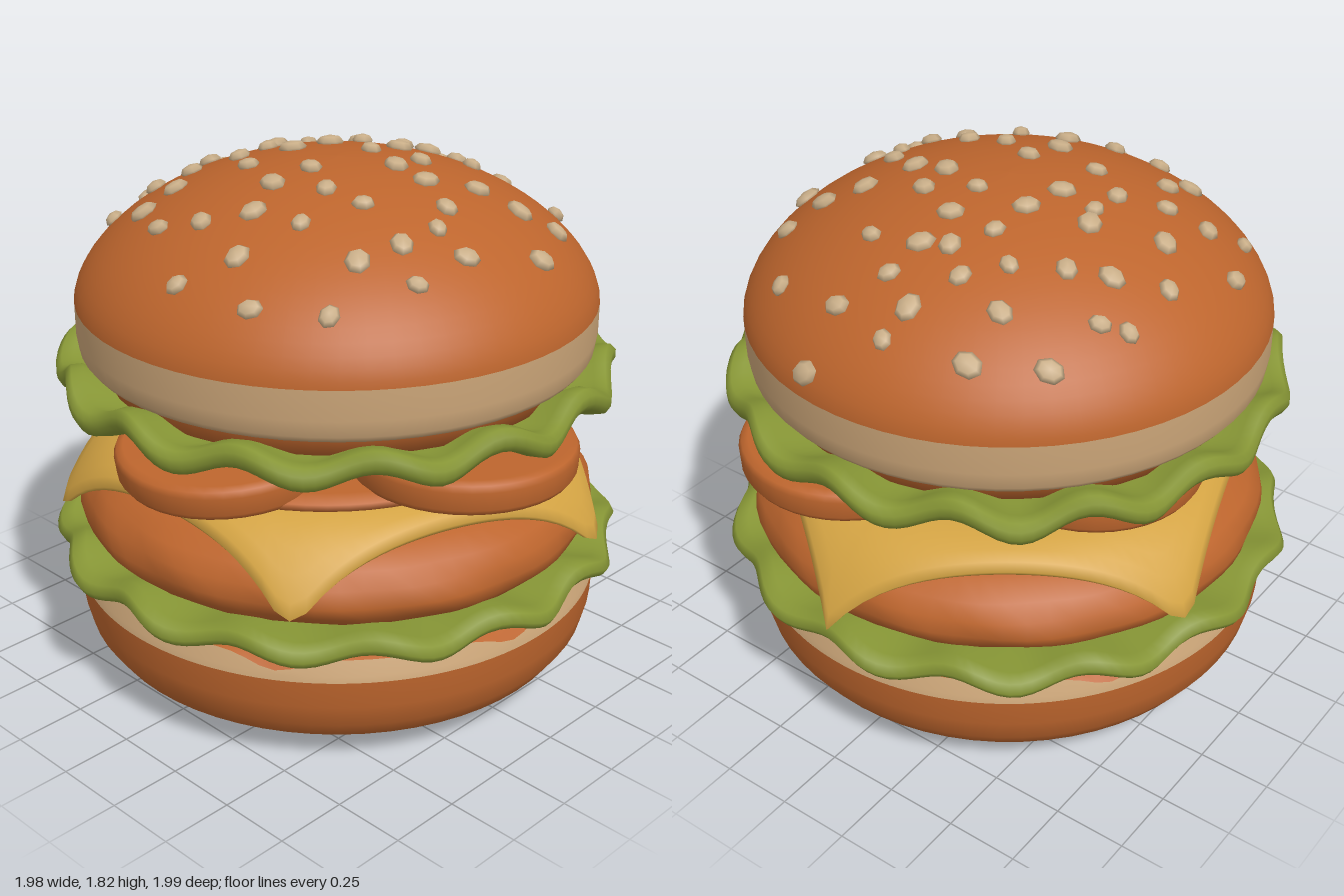
import * as THREE from 'three';
import { mergeVertices } from 'three/addons/utils/BufferGeometryUtils.js';

const material = (name, color) => Object.assign(new THREE.MeshStandardMaterial({ color }), { name });

// Turned solid from [radius, y] points (bottom to top); rule(theta, radius, y) may return a moved [radius, y]
function turned(points, segments = 64, rule = null) {
  const geo = new THREE.LatheGeometry(points.map(([r, y]) => new THREE.Vector2(r, y)), segments);
  if (!rule) return geo;
  const p = geo.attributes.position;
  for (let i = 0; i < p.count; i++) {
    const theta = Math.atan2(p.getX(i), p.getZ(i));
    const [r, y] = rule(theta, Math.hypot(p.getX(i), p.getZ(i)), p.getY(i));
    p.setXYZ(i, r * Math.sin(theta), y, r * Math.cos(theta));
  }
  geo.deleteAttribute('uv');
  geo.deleteAttribute('normal');
  const merged = mergeVertices(geo, 1e-4);
  merged.computeVertexNormals();
  return merged;
}

// Height of the top bun's dome at a radius
const DOME_R = 0.885;
const domeY = (r) => 1.34 + 0.46 * Math.pow(Math.max(0, 1 - (r / DOME_R) ** 2), 0.6);

// Seed places on the dome, x and z in hundredths
const SEEDS = [
  -21, -73, -44, -63, -30, -57, -7, -55, 8, -66, 30, -66, 20, -53, 55, -55, 35, -59, -24, -45,
  -52, -37, -39, -36, 0, -33, -13, -33, 7, -36, 28, -42, 38, -28, 52, -35, 68, -35, -60, -20,
  -22, -19, -1, -20, 14, -17, 29, -16, 49, -18, 64, -10, 41, -8, 74, -8, -55, -5, -30, 1,
  -15, 3, 14, 2, 29, 1, 44, 1, 57, 3, -75, 6, -45, 8, -61, 18, -41, 25, -23, 18,
  8, 19, 21, 18, 46, 19, 70, 13, 85, 14, -70, 33, -21, 32, 23, 41, 8, 32, 65, 41,
  -57, 53, -40, 48, -25, 52, -10, 53, 1, 47, 30, 53, 41, 60, -31, 64, -10, 65, 18, 72,
];

export function createModel() {
  const model = new THREE.Group();
  const brown = material('toasted brown', 0xbd652d);
  const cream = material('bun cream', 0xcba578);
  const green = material('lettuce green', 0x869535);
  const yellow = material('cheese yellow', 0xd3a343);
  const seedColor = material('sesame', 0xc9ae88);

  const add = (name, geo, mat, parent = model) => {
    const mesh = new THREE.Mesh(geo, mat);
    mesh.name = name;
    parent.add(mesh);
    return mesh;
  };

  // Bottom bun; its cream rim is pinched at intervals by the brown crown
  const pinch = (t, r, y) => {
    const dip = Math.abs(y - 0.425) < 0.001 ? 0.04 * Math.abs(Math.cos(3.5 * t + 0.39)) ** 12 : 0;
    return [r + dip * 0.4, y - dip];
  };
  add('bottomBun', turned([[0, 0], [0.4, 0.006], [0.6, 0.025], [0.76, 0.065], [0.85, 0.115],
    [0.895, 0.18], [0.915, 0.26], [0.92, 0.355]]), brown);
  add('bottomBunRim', turned([[0.92, 0.355], [0.915, 0.375], [0.895, 0.425]], 112, pinch), cream);
  add('bottomBunCrown', turned([[0.895, 0.425], [0.87, 0.438], [0.82, 0.447], [0, 0.45]], 112, pinch), brown);

  // Lettuce: thick leaves whose edges wave up and down, and in and out
  const lettuce = (name, points, waves, lift, flare) => {
    add(name, turned(points, 168, (t, r, y) => {
      const w = THREE.MathUtils.smoothstep(r, 0.6, 0.92);
      const swing = 0.85 + 0.15 * Math.sin(3 * t + 1);
      return [r + w * flare * Math.cos(waves * t + 1.1),
        y - w * lift * swing * Math.cos(waves * t + 0.2 * Math.sin(2 * t))];
    }), green);
  };
  lettuce('lowerLettuce', [[0, 0.44], [0.6, 0.45], [0.8, 0.455], [0.92, 0.455], [0.965, 0.46], [0.98, 0.485],
    [0.965, 0.515], [0.92, 0.525], [0.8, 0.51], [0.6, 0.5], [0, 0.5]], 14, 0.025, 0.02);
  lettuce('upperLettuce', [[0, 0.99], [0.45, 1.0], [0.75, 1.025], [0.88, 1.045], [0.935, 1.06], [0.95, 1.085],
    [0.95, 1.115], [0.93, 1.135], [0.89, 1.135], [0.8, 1.1], [0.6, 1.1], [0, 1.1]], 14, 0.037, 0.015);

  // Lumpy patty
  add('patty', turned([[0, 0.48], [0.76, 0.49], [0.84, 0.52], [0.885, 0.565], [0.9, 0.61], [0.888, 0.665],
    [0.85, 0.715], [0.78, 0.765], [0.65, 0.8], [0, 0.82]], 72, (t, r, y) =>
    [r + (r > 0.8 ? 0.008 * Math.sin(9 * t + 25 * y) * Math.sin(5 * t) : 0), y]), brown);

  // Cheese slice: five straight edges, blunt corners drooping over the patty
  const cheeseY = (r) => 0.885 - 0.275 * Math.max(0, (r - 0.48) / 0.5) ** 3.6;
  const steps = [0, 0.4, 0.55, 0.65, 0.74, 0.82, 0.89, 0.95, 1];
  const profile = [...steps.map((s) => [s, -0.05]), [1.015, -0.025], ...steps.map((s) => [s, 0]).reverse()];
  const side = (Math.PI * 2) / 5;
  add('cheese', turned(profile, 120, (t, s, y) => {
    const fromCorner = (((t - Math.PI / 2) % side) + side) % side;
    const reach = 0.955 + 0.025 * Math.max(0, Math.sin(t)) ** 4;
    const r = s * Math.min(0.79 / Math.cos(fromCorner - side / 2), reach);
    return [r, cheeseY(r) + y];
  }), yellow);

  // Sauce layer between cheese and tomato, a little off centre
  add('sauce', turned([[0, 0.84], [0.66, 0.85], [0.7, 0.865], [0.695, 0.885], [0.65, 0.905], [0, 0.915]]), brown)
    .position.set(-0.05, 0, 0);

  // Tomato slices: x, y, z, tilt about z
  const tomato = turned([[0, -0.06], [0.33, -0.06], [0.362, -0.05], [0.375, -0.03], [0.378, 0.03],
    [0.368, 0.05], [0.345, 0.06], [0, 0.06]], 40);
  [[-0.04, 0.947, 0.61, 0], [0.54, 0.94, 0.25, 0], [0.12, 0.943, -0.43, 0], [-0.53, 0.925, 0.03, 0.1],
  ].forEach(([x, y, z, tilt]) => {
    const slice = add('tomatoSlice', tomato, brown);
    slice.position.set(x, y, z);
    slice.rotation.z = tilt;
  });

  // Top bun: brown underside, cream band and dome
  add('topBunUnderside', turned([[0, 1.08], [0.7, 1.085], [0.8, 1.09], [0.815, 1.16]]), brown);
  add('topBunBand', turned([[0.815, 1.16], [0.86, 1.163], [0.877, 1.185], [0.885, 1.24], [DOME_R, 1.34]]), cream);
  const dome = [];
  for (let i = 0; i <= 18; i++) {
    const r = i === 18 ? 0 : DOME_R * Math.cos((i / 18) * Math.PI / 2);
    dome.push([r, domeY(r)]);
  }
  add('topBunDome', turned(dome), brown);

  // Chunky sesame seeds lying on the dome
  const seeds = new THREE.Group();
  seeds.name = 'sesameSeeds';
  model.add(seeds);
  const seedGeo = new THREE.SphereGeometry(1, 7, 4);
  const up = new THREE.Vector3(0, 1, 0);
  for (let i = 0; i < SEEDS.length; i += 2) {
    const x = SEEDS[i] / 100, z = SEEDS[i + 1] / 100, r = Math.hypot(x, z);
    const slope = (domeY(r - 0.01) - domeY(r + 0.01)) / 0.02;
    const normal = new THREE.Vector3((x / (r || 1)) * slope, 1, (z / (r || 1)) * slope).normalize();
    const seed = add('seed', seedGeo, seedColor, seeds);
    seed.position.set(x, domeY(r), z).addScaledVector(normal, 0.006);
    seed.quaternion.setFromUnitVectors(up, normal);
    seed.rotateY(i * 1.7);
    const size = 0.95 + 0.15 * Math.sin(i * 2.3);
    seed.scale.set(0.047 * size, 0.023, 0.038 * size);
  }
  return model;
}
